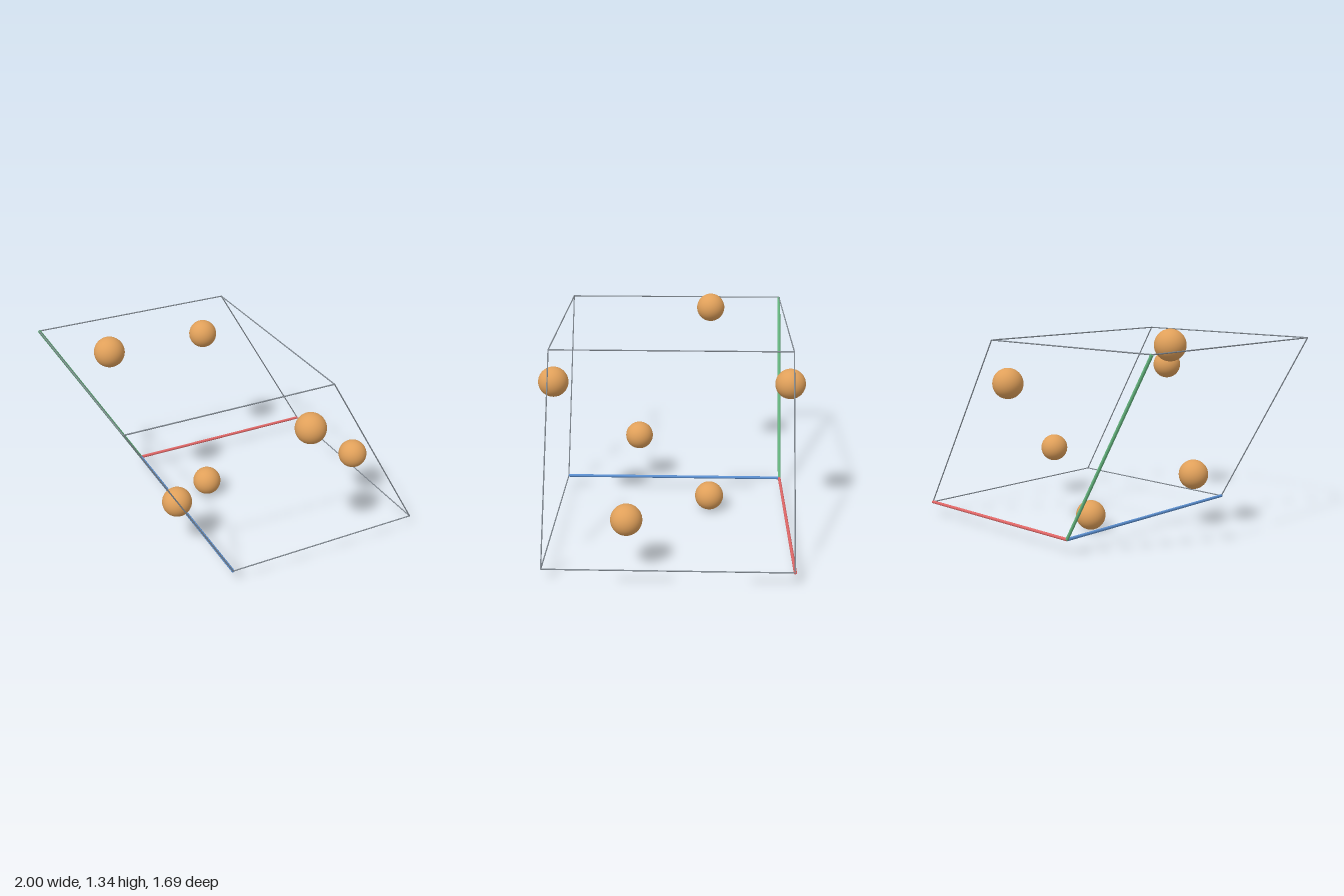
import * as THREE from 'three';

export function createModel() {
  const group = new THREE.Group();
  const material = (name, color) => {
    const m = new THREE.MeshStandardMaterial({ color });
    m.name = name;
    return m;
  };
  const atomMaterial = material('copper orange', 0xe0a05a);
  const edgeMaterial = material('slate grey', 0x808890);
  const redMaterial = material('axis red', 0xe06666);
  const greenMaterial = material('axis green', 0x66b880);
  const blueMaterial = material('axis blue', 0x5b8fd0);

  // Hexagonal cell: lattice vectors a, b, c from one corner
  const A = 1.326, C = 1.502, R = 0.096;
  const origin = new THREE.Vector3(-0.329, R, -C / 2);
  const point = (u, v, w) => new THREE.Vector3(
    A * (u - v / 2), A * v * Math.sqrt(3) / 2, C * w).add(origin);

  const up = new THREE.Vector3(0, 1, 0);
  function rod(name, from, to, radius, mat) {
    const dir = to.clone().sub(from);
    const mesh = new THREE.Mesh(
      new THREE.CylinderGeometry(radius, radius, dir.length(), 12), mat);
    mesh.position.copy(from).add(to).multiplyScalar(0.5);
    mesh.quaternion.setFromUnitVectors(up, dir.normalize());
    mesh.name = name;
    group.add(mesh);
  }

  // Twelve cell edges; the three meeting at the origin are thick coloured axes
  const axes = [['axisA', redMaterial], ['axisB', greenMaterial], ['axisC', blueMaterial]];
  axes.forEach(([axisName, axisMaterial], k) => {
    for (const s of [0, 1]) for (const t of [0, 1]) {
      const start = [0, 0, 0];
      start[(k + 1) % 3] = s;
      start[(k + 2) % 3] = t;
      const end = [...start];
      end[k] = 1;
      const isAxis = s + t === 0;
      rod(isAxis ? axisName : 'cellEdge', point(...start), point(...end),
        isAxis ? 0.01 : 0.004, isAxis ? axisMaterial : edgeMaterial);
    }
  });

  // Atoms on threefold screw sites, with their copies on the cell faces
  const q = 0.225;
  const sites = [
    [q, 0, 1 / 3], [q, 1, 1 / 3],
    [0, q, 2 / 3], [1, q, 2 / 3],
    [1 - q, 1 - q, 0], [1 - q, 1 - q, 1],
  ];
  const ball = new THREE.SphereGeometry(R, 40, 28);
  for (const site of sites) {
    const atom = new THREE.Mesh(ball, atomMaterial);
    atom.position.copy(point(...site));
    atom.name = 'atom';
    group.add(atom);
  }

  return group;
}
